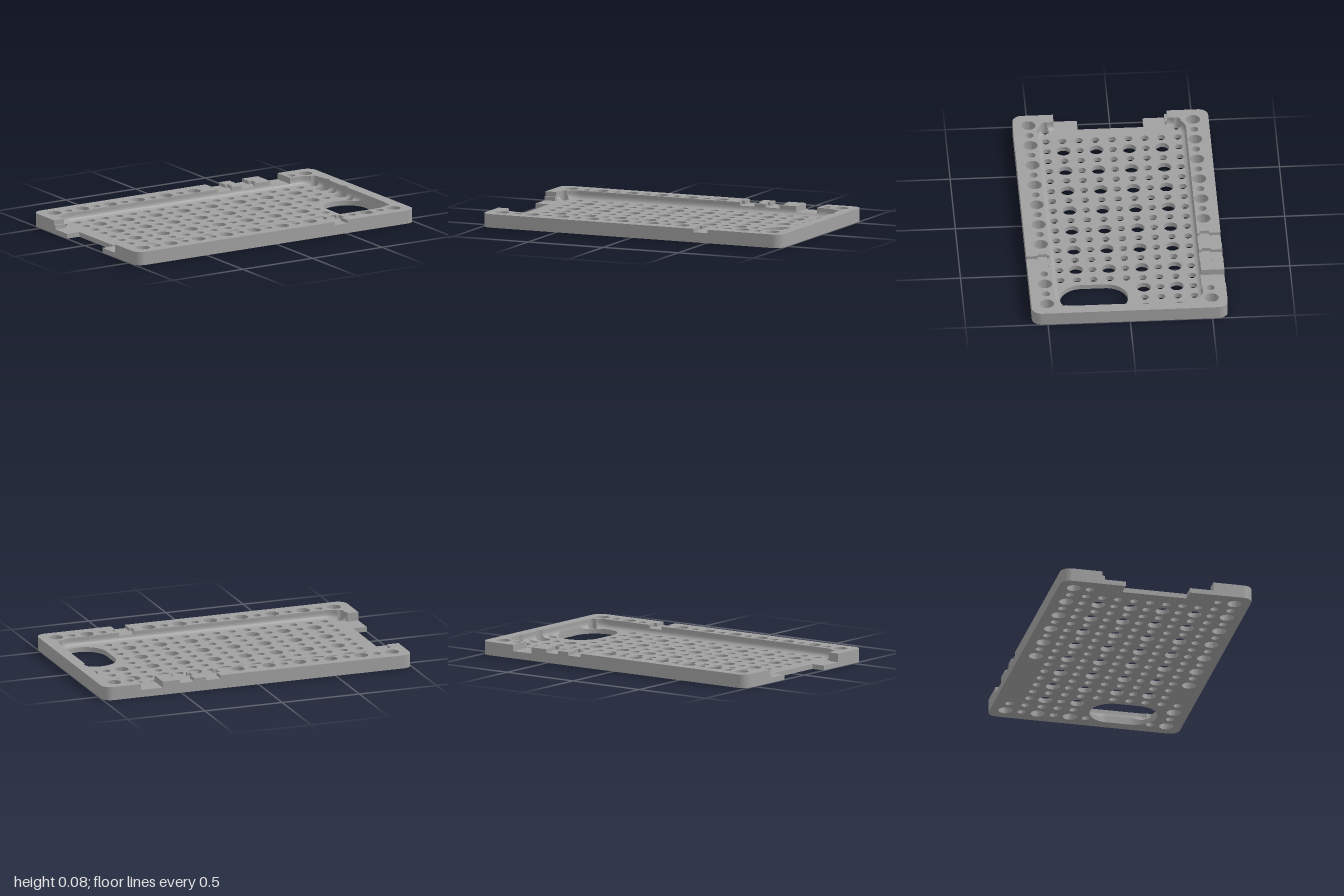
import * as THREE from 'three';
import { toCreasedNormals } from 'three/addons/utils/BufferGeometryUtils.js';

const W = 1, D = 0.595, H = 0.083;        // outer half width, half depth, height
const IW = 0.93, ID = 0.453, IR = 0.11;   // cavity half sizes and corner radius
const FLOOR = 0.03, FILLET = 0.03;
const PORT = 0.045, SLOT = 0.062;         // heights of the wall cut-outs
const OPEN = 0.345;                       // half width of the open end

// Rounded rectangle as points with outward normals: left, back, right, front
function outline(w, d, r, cornerSteps, sideSteps) {
  const pts = [];
  [[-1, -1], [1, -1], [1, 1], [-1, 1]].forEach(([sx, sz], k) => {
    for (let i = 0; i <= cornerSteps; i++) {
      const a = Math.PI * (1 + k / 2 + i / cornerSteps / 2);
      const nx = Math.cos(a), nz = Math.sin(a);
      pts.push({ x: sx * (w - r) + r * nx, z: sz * (d - r) + r * nz, nx, nz });
    }
    if (k === 3) return;
    const p = pts[pts.length - 1];
    const len = k === 1 ? 2 * (d - r) : 2 * (w - r);
    for (let i = 1; i < sideSteps; i++) {
      const t = len * i / sideSteps;
      pts.push({ x: p.x - p.nz * t, z: p.z + p.nx * t, nx: p.nx, nz: p.nz });
    }
  });
  return pts;
}

// Hole grid: large holes on odd/odd positions, small ones elsewhere
const holes = [];
for (let j = -5; j <= 5; j++) {
  for (let i = -9; i <= 9; i++) {
    if (i === -9 && Math.abs(j) < 4) continue;
    if (j === -5 && i >= 2 && i <= 7) continue;
    if (j === 5 && (i === 4 || i === 5)) continue;
    if (i >= 7 && j >= 0 && j <= 4 && !(i === 9 && (j === 0 || j === 4))) continue;
    const big = i % 2 !== 0 && j % 2 !== 0;
    holes.push({ x: i / 10, z: j / 10, r: big ? 0.043 : 0.025, rim: Math.abs(j) === 5 });
  }
}

// Oval window
const oval = { x: 0.792, z: 0.2075, w: 0.136, d: 0.2075, r: 0.1355 };

// Signed distance to the nearest cutter reaching the cavity wall
function cutDistance(x, z) {
  const qx = Math.abs(x - oval.x) - oval.w + oval.r, qz = Math.abs(z - oval.z) - oval.d + oval.r;
  let d = Math.hypot(Math.max(qx, 0), Math.max(qz, 0)) + Math.min(Math.max(qx, qz), 0) - oval.r;
  for (const h of holes) if (!h.rim) d = Math.min(d, Math.hypot(x - h.x, z - h.z) - h.r);
  return d;
}

// Cavity outline at an inset, pushed outward where a hole bites into it
function cavity(inset) {
  return outline(IW - inset, ID - inset, IR - inset, 28, 160).map((p) => {
    let { x, z } = p, d;
    while ((d = cutDistance(x, z)) < -1e-5) {
      const step = Math.max(-d, 0.0003);
      x += p.nx * step;
      z += p.nz * step;
    }
    return { x, z };
  });
}

const toShape = (pts) => new THREE.Shape(pts.map((p) => new THREE.Vector2(p[0], -p[1])));

function addCircle(shape, h) {
  const path = new THREE.Path();
  path.absarc(h.x, -h.z, h.r, 0, Math.PI * 2, true);
  shape.holes.push(path);
}

function slab(shape, y0, y1) {
  const g = new THREE.ExtrudeGeometry(shape, { depth: y1 - y0, bevelEnabled: false, curveSegments: 14 });
  g.rotateX(-Math.PI / 2);
  g.translate(0, y0, 0);
  return toCreasedNormals(g, 0.6);
}

// Seams across the rim, listed from outside to inside
const endSeam = (s) => [[-W, s * OPEN], [-IW, s * OPEN]];
const seam = (x, s, jog = 0) => (jog
  ? [[x, D], [x, 0.525], [x + jog, 0.525], [x + jog, 0.468], [x, 0.468], [x, ID]]
  : [[x, D], [x, ID]]).map(([a, b]) => [a, s * b]);

export function createModel() {
  const group = new THREE.Group();
  const grey = new THREE.MeshStandardMaterial({ color: 0xa0a0a0, side: THREE.DoubleSide });
  grey.name = 'grey plastic';
  const add = (name, geometry) => {
    const mesh = new THREE.Mesh(geometry, grey);
    mesh.name = name;
    group.add(mesh);
  };

  const outer = outline(W, D, 0.06, 12, 1);
  const inner = cavity(0);

  // Perforated floor with the notch at the open end
  const floor = toShape([
    ...outer.map((p) => [p.x, p.z]),
    [-W, 0.2], [-0.912, 0.2], [-0.912, -0.2], [-W, -0.2],
  ]);
  holes.forEach((h) => addCircle(floor, h));
  const window = outline(oval.w, oval.d, oval.r, 14, 1);
  floor.holes.push(new THREE.Path(window.map((p) => new THREE.Vector2(p.x + oval.x, -p.z - oval.z))));
  add('perforatedFloor', slab(floor, 0, FLOOR));

  // Rim section between two seams
  const rim = (a, b, y0, y1) => {
    const angle = ([x, z]) => Math.atan2(z, x);
    const between = (pts, p, q) => pts.map((v) => [v.x, v.z])
      .filter((v) => angle(v) > angle(p) + 1e-4 && angle(v) < angle(q) - 1e-4);
    const shape = toShape([
      ...between(outer, a[0], b[0]), ...b,
      ...between(inner, a.at(-1), b.at(-1)).reverse(), ...[...a].reverse(),
    ]);
    holes.filter((h) => h.rim).forEach((h) => {
      const t = angle([h.x, h.z]);
      const mid = (s) => angle([(s[0][0] + s.at(-1)[0]) / 2, (s[0][1] + s.at(-1)[1]) / 2]);
      if (t > mid(a) && t < mid(b)) addCircle(shape, h);
    });
    add('rim', slab(shape, y0, y1));
  };

  // Lower rim, then the level with the port, then the level with all slots
  const start = endSeam(-1), end = endSeam(1);
  rim(start, end, FLOOR, PORT);
  rim(start, seam(0.62, -1), PORT, SLOT);
  rim(seam(0.76, -1), end, PORT, SLOT);
  [
    [start, seam(0.246, -1, -0.02)],
    [seam(0.342, -1, 0.018), seam(0.417, -1, -0.016)],
    [seam(0.508, -1, 0.022), seam(0.62, -1)],
    [seam(0.76, -1), seam(0.508, 1, 0.022)],
    [seam(0.417, 1, -0.016), end],
  ].forEach(([a, b]) => rim(a, b, SLOT, H));

  // Curved fillet between floor and cavity wall
  const rows = 6, pos = [], idx = [];
  let n = 0;
  for (let j = 0; j <= rows; j++) {
    const a = (j / rows) * Math.PI / 2;
    const y = FLOOR + FILLET * (1 - Math.cos(a));
    const ring = cavity(FILLET * (1 - Math.sin(a)));
    n = ring.length;
    ring.forEach((p) => {
      const inPort = p.z < 0 && p.x > 0.62 && p.x < 0.76;
      pos.push(p.x, inPort ? Math.min(y, PORT) : y, p.z);
    });
  }
  for (let j = 0; j < rows; j++) {
    for (let i = 0; i < n - 1; i++) {
      const a = j * n + i, b = a + n;
      idx.push(a, a + 1, b, a + 1, b + 1, b);
    }
  }
  const fillet = new THREE.BufferGeometry();
  fillet.setAttribute('position', new THREE.Float32BufferAttribute(pos, 3));
  fillet.setIndex(idx);
  add('cavityFillet', toCreasedNormals(fillet, 0.6));

  // Small step beside the open end
  const step = new THREE.BoxGeometry(0.07, 0.025, 0.015);
  step.translate(-0.965, FLOOR + 0.0125, -0.3375);
  add('endStep', step);

  return group;
}
